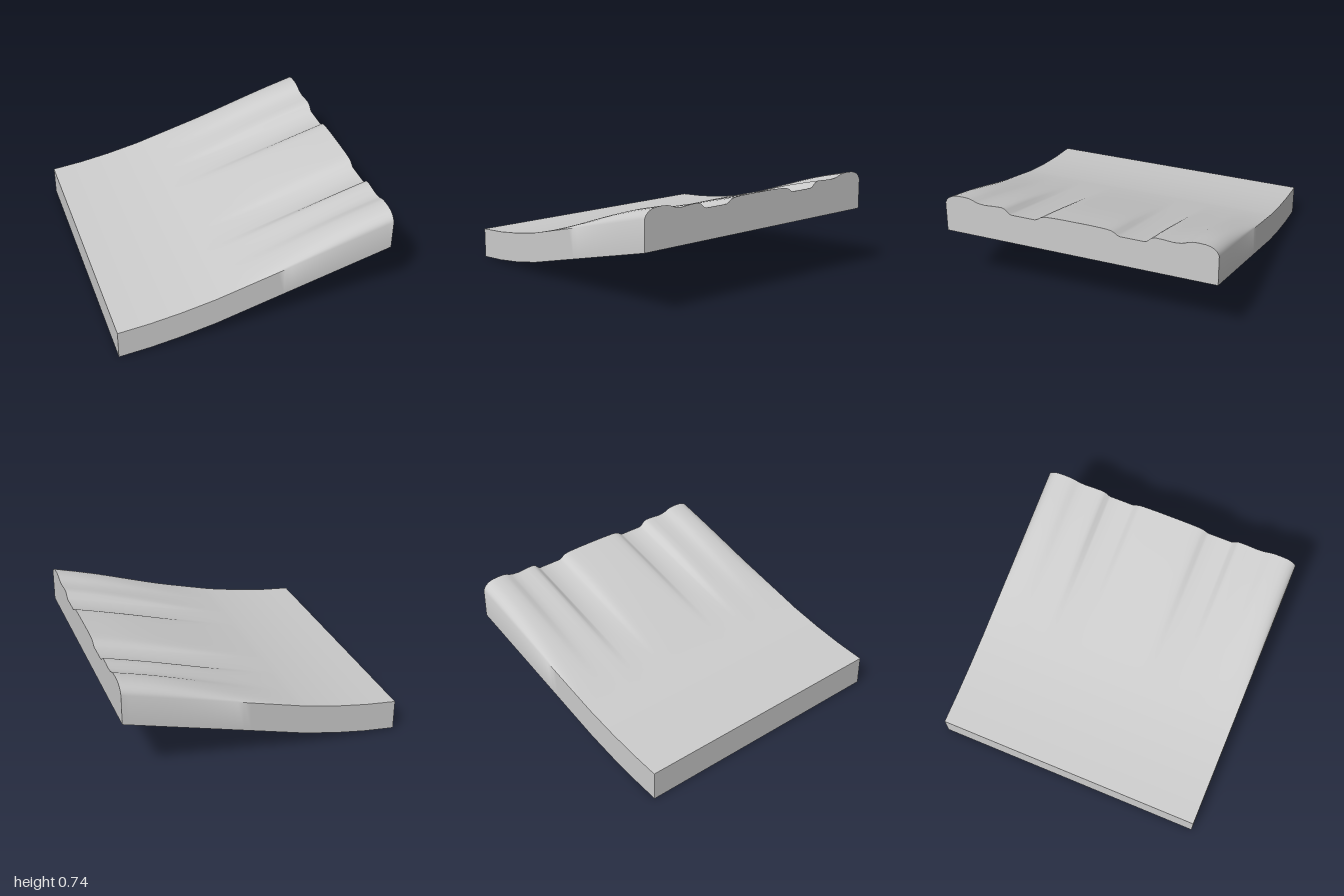
import * as THREE from 'three';
import { toCreasedNormals } from 'three/addons/utils/BufferGeometryUtils.js';

// Straight-line interpolation through [position, height] pairs
function sample(points, t) {
  for (let i = 1; i < points.length; i++) {
    const [a, ya] = points[i - 1], [b, yb] = points[i];
    if (t <= b) return ya + (yb - ya) * (t - a) / (b - a);
  }
  return points[points.length - 1][1];
}

// Underside of the slab along x
const underside = [[-1, 0], [-0.77, 0.022], [-0.55, 0.055], [-0.3, 0.105], [1, 0.45]];
const thickness = 0.22;

// Half of the ridge profile at the raised end: [z, height above the plain slab]
const ridges = [
  [0, 0.041], [0.1, 0.041], [0.18, 0.039], [0.22, 0.037], [0.25, 0.032], [0.27, 0.024],
  [0.29, 0.009], [0.31, 0], [0.4, 0], [0.49, 0], [0.505, 0.007], [0.53, 0.031], [0.545, 0.039],
  [0.565, 0.044], [0.62, 0.042], [0.69, 0.036], [0.74, 0.041], [0.765, 0.048], [0.79, 0.059],
  [0.82, 0.066], [0.86, 0.068], [0.91, 0.066], [0.94, 0.059], [0.965, 0.047],
  [0.98, 0.034], [0.99, 0.022], [1, 0],
];

function createSlabGeometry() {
  const half = ridges.map(([z]) => z);
  const zs = [...half.slice(1).reverse().map((z) => -z), ...half];
  const n = zs.length, loop = 2 * n;

  // Stations along x, including the bends of the underside
  const xs = [-1, -0.77, -0.55, -0.3];
  for (let i = 1; i <= 26; i++) xs.push(-0.3 + i * 0.05);

  // Each section runs across the top, then back along the underside
  const position = [], index = [];
  for (const x of xs) {
    const low = sample(underside, x);
    const rise = THREE.MathUtils.smoothstep(x, -0.25, 0.85);
    for (const z of zs) position.push(x, low + thickness + rise * sample(ridges, Math.abs(z)), z);
    for (let j = n - 1; j >= 0; j--) position.push(x, low, zs[j]);
  }

  // Top, underside and side walls
  for (let i = 0; i < xs.length - 1; i++) {
    for (let j = 0; j < loop; j++) {
      const a = i * loop + j, b = i * loop + (j + 1) % loop;
      index.push(a, b, b + loop, a, b + loop, a + loop);
    }
  }

  // End faces
  const end = (xs.length - 1) * loop;
  for (let j = 0; j < n - 1; j++) {
    const t0 = j, t1 = j + 1, b0 = loop - 1 - j, b1 = loop - 2 - j;
    index.push(end + t0, end + t1, end + b1, end + t0, end + b1, end + b0);
    index.push(t0, b1, t1, t0, b0, b1);
  }

  const geometry = new THREE.BufferGeometry();
  geometry.setAttribute('position', new THREE.Float32BufferAttribute(position, 3));
  geometry.setIndex(index);
  return toCreasedNormals(geometry, 0.95);
}

export function createModel() {
  const group = new THREE.Group();
  group.name = 'ridgedRamp';
  const grey = new THREE.MeshStandardMaterial({ color: 0xcccccc });
  grey.name = 'lightGrey';
  const slab = new THREE.Mesh(createSlabGeometry(), grey);
  slab.name = 'curvedSlab';
  group.add(slab);
  return group;
}
